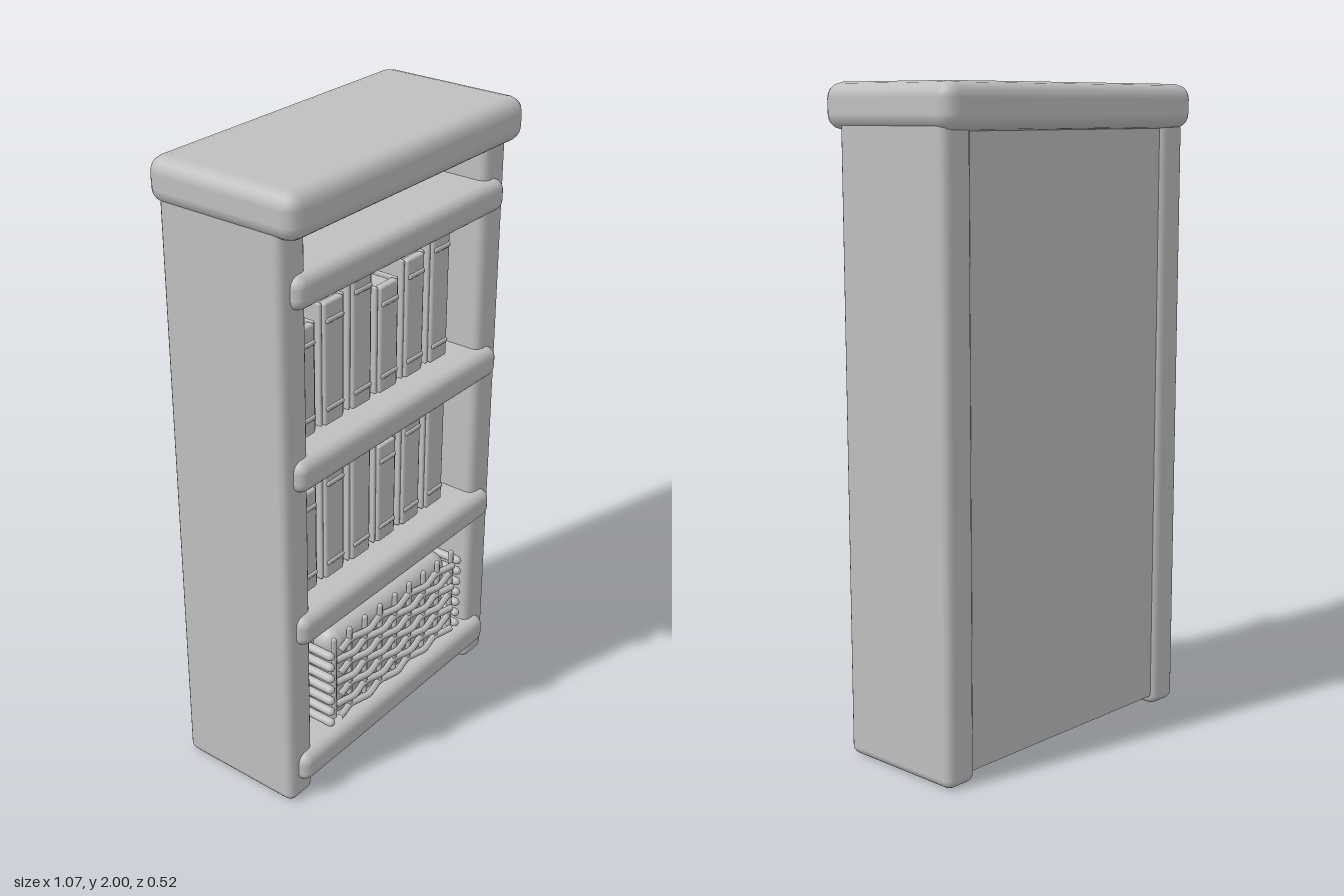
import * as THREE from 'three';
import { RoundedBoxGeometry } from 'three/addons/geometries/RoundedBoxGeometry.js';

const grey = new THREE.MeshStandardMaterial({ color: 0xbfbfbf });
grey.name = 'plain grey';

function add(parent, name, geometry, x = 0, y = 0, z = 0) {
  const mesh = new THREE.Mesh(geometry, grey);
  mesh.name = name;
  mesh.position.set(x, y, z);
  parent.add(mesh);
  return mesh;
}

// Box given by its limits on each axis, with optional rounded edges
function block(parent, name, [x0, x1], [y0, y1], [z0, z1], radius = 0, segments = 2) {
  const size = [x1 - x0, y1 - y0, z1 - z0];
  const geometry = radius
    ? new RoundedBoxGeometry(...size, segments, radius)
    : new THREE.BoxGeometry(...size);
  return add(parent, name, geometry, (x0 + x1) / 2, (y0 + y1) / 2, (z0 + z1) / 2);
}

// Book: two cover boards, a page block, a spine and two raised bands
function makeBook(x, y, height) {
  const book = new THREE.Group();
  book.name = 'book';
  book.position.set(x, y, 0);
  const w = 0.054;
  for (const s of [-1, 1]) {
    const outer = s * w, inner = s * (w - 0.012);
    block(book, 'cover', [Math.min(outer, inner), Math.max(outer, inner)], [0, height], [-0.14, 0.137], 0.004, 1);
  }
  block(book, 'pages', [-0.042, 0.042], [0.01, height - 0.012], [-0.13, 0.125]);
  block(book, 'spine', [-0.042, 0.042], [0, height], [0.12, 0.147], 0.008);
  for (const by of [0.055, height - 0.055]) {
    block(book, 'spineBand', [-0.038, 0.038], [by - 0.007, by + 0.007], [0.14, 0.153], 0.004, 1);
  }
  return book;
}

// Woven basket: rounded body, upright stakes and strands passing in and out
function makeBasket() {
  const basket = new THREE.Group();
  basket.name = 'basket';
  block(basket, 'basketBody', [-0.305, 0.305], [0.175, 0.505], [-0.13, 0.195], 0.05, 3);

  const stake = new THREE.CapsuleGeometry(0.009, 0.29, 3, 8);
  for (let i = -4; i <= 4; i++) {
    add(basket, 'stake', stake, i * 0.077, 0.356, 0.2);
  }
  for (const s of [-1, 1]) {
    for (let i = 0; i < 4; i++) add(basket, 'sideStake', stake, s * 0.308, 0.356, 0.11 - i * 0.077);
  }

  for (let row = 0; row < 7; row++) {
    const y = 0.207 + row * 0.0422;
    const phase = row % 2 ? -1 : 1;
    const points = [];
    for (let i = -8; i <= 8; i++) {
      points.push(new THREE.Vector3(i * 0.0375, y, 0.207 + phase * 0.008 * Math.cos(i * Math.PI / 2)));
    }
    add(basket, 'frontStrand', new THREE.TubeGeometry(new THREE.CatmullRomCurve3(points), 48, 0.011, 8));
    // Side strands run front to back with rounded ends
    const side = new THREE.CapsuleGeometry(0.014, 0.31, 3, 8).rotateX(Math.PI / 2);
    for (const s of [-1, 1]) add(basket, 'sideStrand', side, s * 0.335, y, 0.053);
  }
  return basket;
}

export function createModel() {
  const model = new THREE.Group();
  model.name = 'bookcase';

  // Carcass
  block(model, 'topCap', [-0.535, 0.535], [1.865, 2], [-0.258, 0.258], 0.046);
  block(model, 'rightSide', [-0.522, -0.412], [0, 1.92], [-0.228, 0.202], 0.026);
  block(model, 'leftSide', [0.412, 0.522], [0, 1.92], [-0.228, 0.202], 0.026);
  block(model, 'backPanel', [-0.43, 0.43], [0.03, 1.92], [-0.215, -0.18]);

  // Shelves with rounded front edges
  for (const y of [0.115, 0.627, 1.15, 1.705]) {
    block(model, 'shelf', [-0.485, 0.485], [y - 0.05, y + 0.05], [-0.205, 0.233], 0.034, 3);
  }

  // Two rows of books
  for (const base of [0.685, 1.208]) {
    for (let i = 0; i < 6; i++) {
      model.add(makeBook(-0.36 + i * 0.1275, base, 0.343 + (i % 3) * 0.041));
    }
  }

  model.add(makeBasket());
  return model;
}
